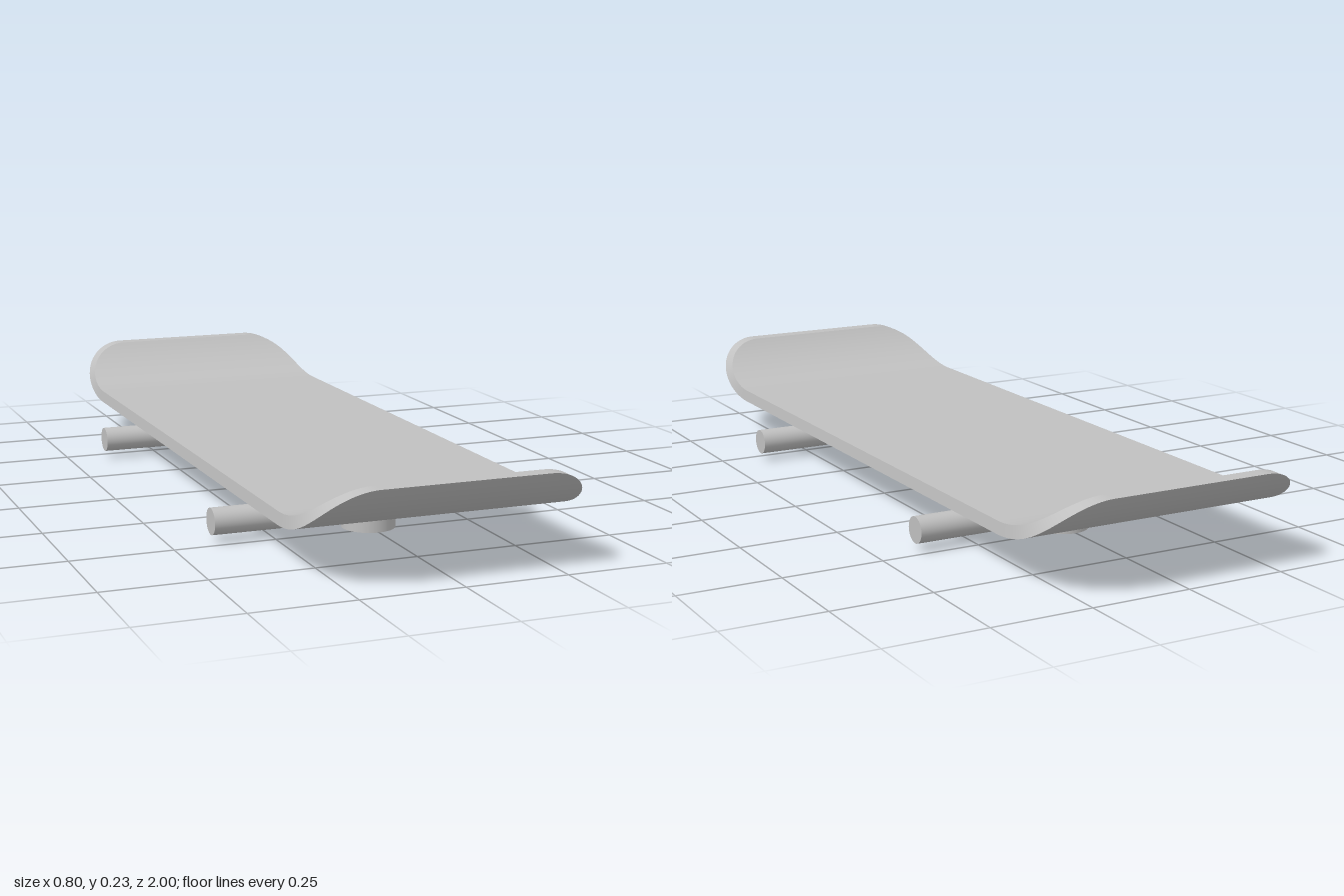
import * as THREE from 'three';
import { mergeGeometries } from 'three/addons/utils/BufferGeometryUtils.js';

const BOTTOM = 0.103, TIP = 0.234, THICK = 0.03;
const BEND_Z = 0.73;                          // where the nose and tail start to curl
const RISE = TIP - BOTTOM, RUN = 1 - BEND_Z;
const RADIUS = (RUN * RUN + RISE * RISE) / (2 * RISE);

// Half width of the deck at a height: rounded corners seen from the end
const halfWidth = (y) => 0.2 + Math.sqrt(Math.max(0, RISE * RISE - (y - BOTTOM) ** 2)) * (0.133 / RISE);

// Lengthwise line [z, y] of one deck face: flat middle with both ends curled up to TIP
function deckLine(offset) {
  const r = RADIUS - offset, cy = BOTTOM + RADIUS, steps = 40, end = [];
  const maxAngle = Math.acos((cy - TIP) / r);
  for (let i = 0; i <= steps; i++) {
    const a = maxAngle * (1 - (1 - i / steps) ** 2);   // finer towards the tip
    end.push([BEND_Z + r * Math.sin(a), i === steps ? TIP : cy - r * Math.cos(a)]);
  }
  return [...end.map(([z, y]) => [-z, y]).reverse(), ...end];
}

// Smooth strip between two point lists
function strip(a, b) {
  const pos = [], index = [];
  a.forEach((p, i) => {
    pos.push(...p, ...b[i]);
    const k = 2 * i;
    if (i < a.length - 1) index.push(k, k + 1, k + 2, k + 1, k + 3, k + 2);
  });
  const g = new THREE.BufferGeometry();
  g.setAttribute('position', new THREE.Float32BufferAttribute(pos, 3));
  g.setIndex(index);
  g.computeVertexNormals();
  return g;
}

function deckGeometry() {
  const edge = (line, side) => line.map(([z, y]) => [side * halfWidth(y), y, z]);
  const top = deckLine(THICK), bottom = deckLine(0);
  const topL = edge(top, 1), topR = edge(top, -1);
  const botL = edge(bottom, 1), botR = edge(bottom, -1);
  const n = top.length - 1;
  return mergeGeometries([
    strip(topL, topR),
    strip(botR, botL),
    strip(botL, topL),
    strip(topR, botR),
    strip([topL[n], botL[n]], [topR[n], botR[n]]),   // front lip
    strip([botL[0], topL[0]], [botR[0], topR[0]]),   // back lip
  ]);
}

export function createModel() {
  const model = new THREE.Group();
  model.name = 'skateboard';
  const grey = new THREE.MeshStandardMaterial({ color: 0xc0c0c0 });
  grey.name = 'light grey';

  const add = (parent, name, geometry) => {
    const mesh = new THREE.Mesh(geometry, grey);
    mesh.name = name;
    parent.add(mesh);
    return mesh;
  };

  add(model, 'deck', deckGeometry());

  // Trucks: an upright post crossed by an axle
  for (const [name, z] of [['frontTruck', 0.467], ['backTruck', -0.467]]) {
    const truck = new THREE.Group();
    truck.name = name;
    truck.position.z = z;
    add(truck, 'post', new THREE.CylinderGeometry(0.066, 0.066, BOTTOM, 48)).position.y = BOTTOM / 2;
    const axle = add(truck, 'axle', new THREE.CylinderGeometry(0.0325, 0.0325, 0.8, 40));
    axle.rotation.z = Math.PI / 2;
    axle.position.y = 0.05;
    model.add(truck);
  }
  return model;
}
